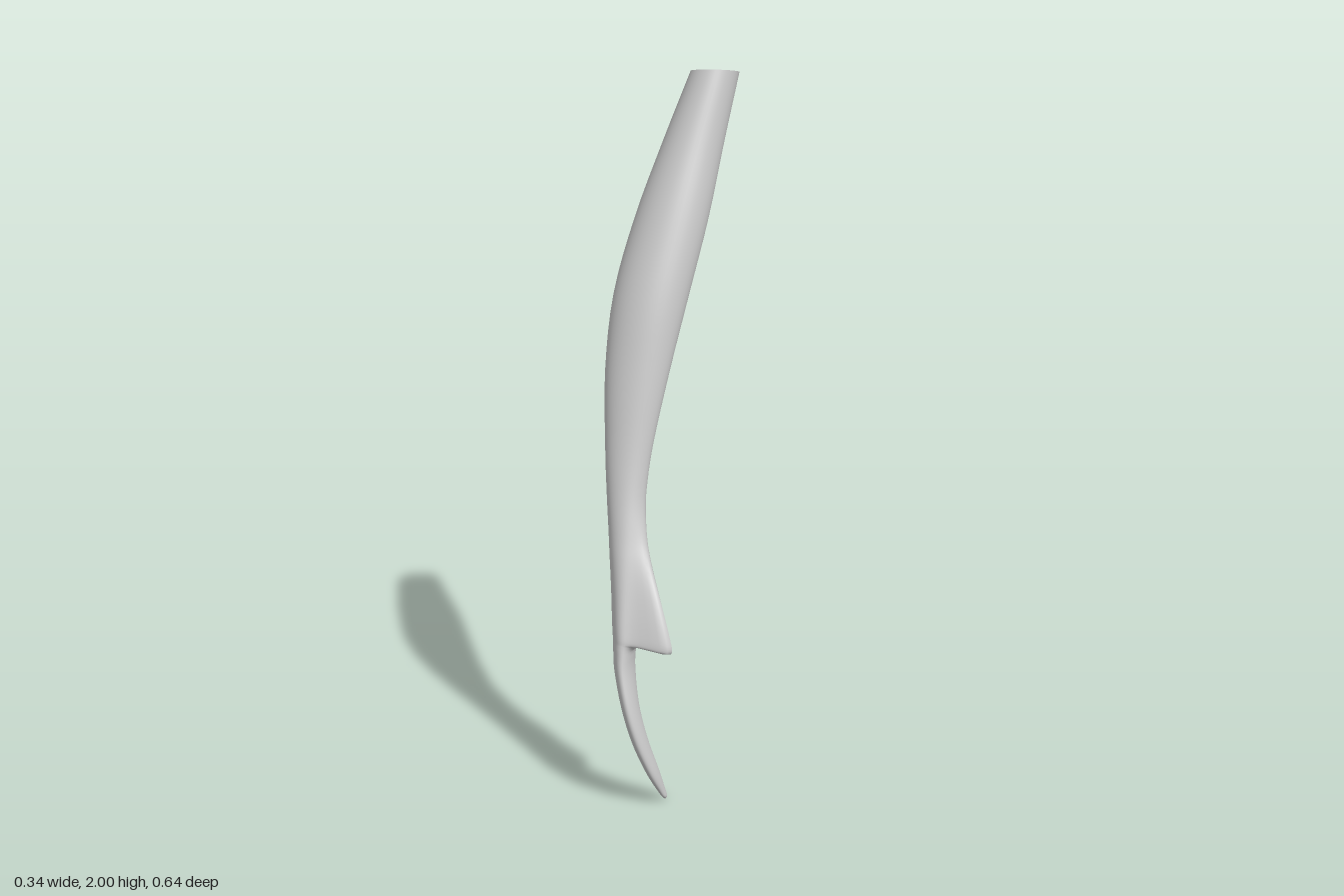
import * as THREE from 'three';

// Arm sections, top to tip: y, right edge x, left edge x, back z, front z, thumb reach
const SECTIONS = [
  [1.985, 0.035, 0.17, -0.32, -0.17, 0],
  [1.8, -0.035, 0.135, -0.27, -0.1, 0],
  [1.6, -0.105, 0.1, -0.21, -0.02, 0],
  [1.4, -0.155, 0.055, -0.13, 0.05, 0],
  [1.2, -0.17, 0.01, -0.035, 0.098, 0],
  [1.0, -0.163, -0.03, 0.042, 0.14, 0],
  [0.87, -0.155, -0.045, 0.075, 0.17, 0],
  [0.77, -0.147, -0.048, 0.095, 0.198, 0.1],
  [0.7, -0.142, -0.05, 0.104, 0.22, 0.28],
  [0.6, -0.135, -0.053, 0.11, 0.25, 0.66],
  [0.53, -0.131, -0.055, 0.117, 0.272, 0.92],
  [0.495, -0.128, -0.055, 0.122, 0.283, 1.0],
  [0.482, -0.127, -0.056, 0.125, 0.286, 0.85],
  [0.475, -0.126, -0.058, 0.128, 0.288, 0.3],
  [0.455, -0.125, -0.062, 0.134, 0.293, 0],
  [0.4, -0.12, -0.065, 0.155, 0.305, 0],
  [0.3, -0.097, -0.05, 0.21, 0.323, 0],
  [0.2, -0.068, -0.025, 0.228, 0.32, 0],
  [0.1, -0.03, 0.005, 0.222, 0.295, 0],
  [0.03, 0.002, 0.022, 0.217, 0.258, 0],
  [0.01, 0.013, 0.026, 0.217, 0.243, 0],
  [0, 0.021, 0.021, 0.228, 0.228, 0],
];
const SIDES = 40;
const STEPS = 4;

// Skin lofted through elliptical rings, with the thumb drawn out of the hand rings
function skinGeometry() {
  const last = SECTIONS.length - 1;
  const spline = new THREE.CubicInterpolant(
    Float32Array.from(SECTIONS.keys()), new Float32Array(SECTIONS.flat()), 6);
  const positions = [];
  const indices = [];
  const rings = last * STEPS;
  for (let i = 0; i <= rings; i++) {
    const row = i % STEPS === 0 ? SECTIONS[i / STEPS] : spline.evaluate(i / STEPS);
    const [y, x0, x1, z0, z1, reach] = row;
    const thumb = Math.max(0, reach);
    const tilt = 0.2 * THREE.MathUtils.smoothstep(y, 1.4, 1.985);
    for (let j = 0; j < SIDES; j++) {
      const angle = (j / SIDES) * Math.PI * 2 - Math.PI;
      const pull = thumb * Math.exp(-(((angle - 0.3) / 0.55) ** 2));
      const dz = ((z1 - z0) / 2) * Math.sin(angle);
      positions.push(
        (x0 + x1) / 2 + ((x1 - x0) / 2) * Math.cos(angle) + 0.105 * pull,
        y + dz * tilt - 0.02 * pull,
        (z0 + z1) / 2 + dz + 0.072 * pull);
      if (i < rings) {
        const a = i * SIDES + j;
        const b = i * SIDES + ((j + 1) % SIDES);
        indices.push(a, b, a + SIDES, b, b + SIDES, a + SIDES);
      }
    }
  }
  const geometry = new THREE.BufferGeometry();
  geometry.setAttribute('position', new THREE.Float32BufferAttribute(positions, 3));
  geometry.setIndex(indices);
  geometry.computeVertexNormals();
  return geometry;
}

export function createModel() {
  const model = new THREE.Group();
  model.name = 'arm';
  // Open at the shoulder, so the inside shows too
  const material = new THREE.MeshStandardMaterial({ color: 0xcccccc, side: THREE.DoubleSide });
  const skin = new THREE.Mesh(skinGeometry(), material);
  skin.name = 'armWithMittenHand';
  model.add(skin);
  return model;
}
